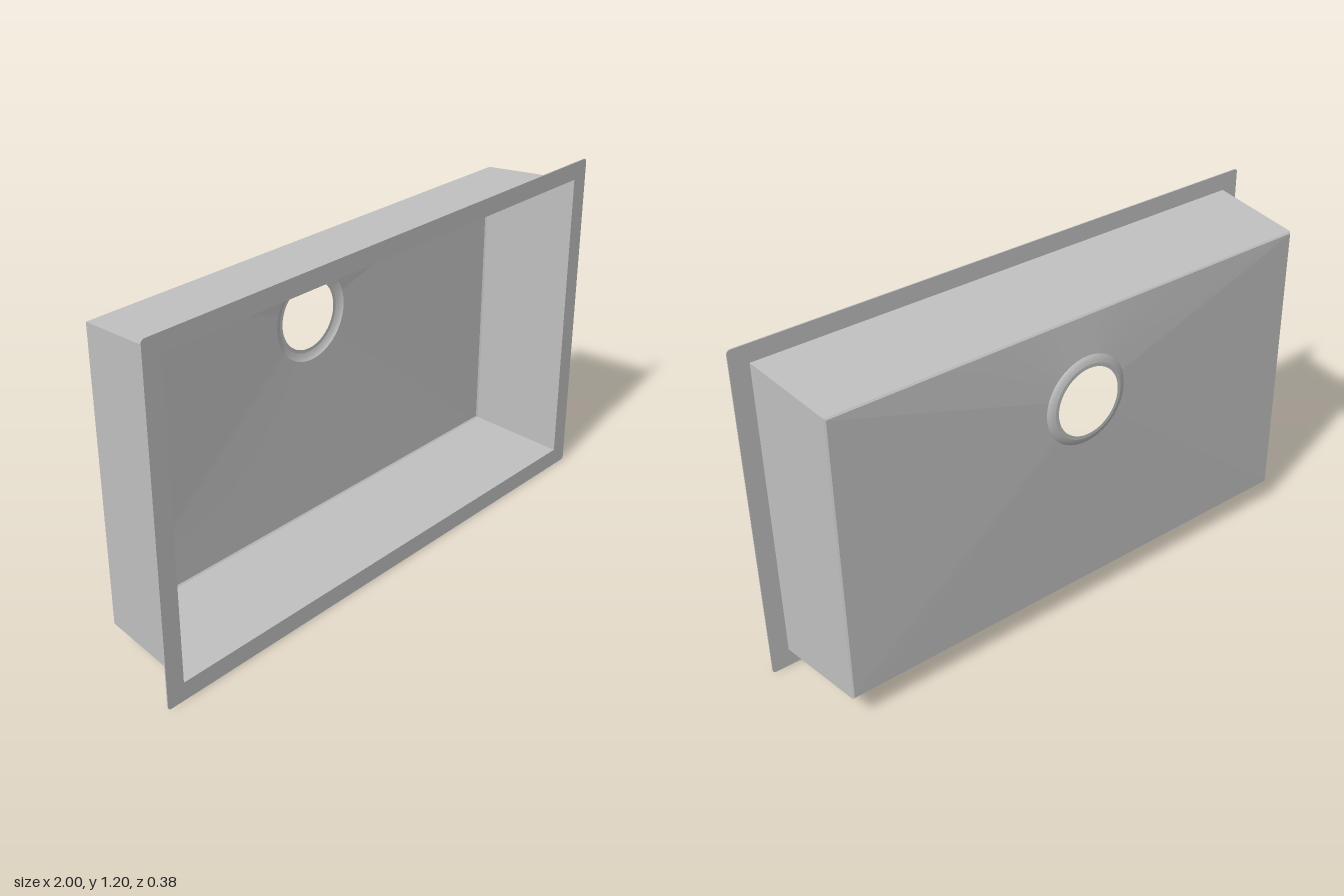
import * as THREE from 'three';

const DRAIN_Y = 0.82;
const steel = new THREE.MeshStandardMaterial({ color: 0xc0c0c0, side: THREE.DoubleSide });
steel.name = 'brushed steel';

// Rectangular section of the basin
const section = (halfX, y0, y1, z) => ({ halfX, y0, y1, z });
const mouth = section(0.935, 0.065, 1.138, 0.19);
const base = section(0.91, 0.09, 1.113, -0.157);
const floorEdge = section(0.905, 0.095, 1.108, -0.162);

const corners = ({ halfX: x, y0, y1, z }) => [[-x, y0, z], [x, y0, z], [x, y1, z], [-x, y1, z]];

// Skin consecutive closed loops of points
function loft(loops) {
  const n = loops[0].length;
  const index = [];
  for (let r = 0; r < loops.length - 1; r++) {
    for (let i = 0; i < n; i++) {
      const a = r * n + i, b = r * n + (i + 1) % n;
      index.push(a, a + n, b, b, a + n, b + n);
    }
  }
  const geo = new THREE.BufferGeometry();
  geo.setAttribute('position', new THREE.Float32BufferAttribute(loops.flat(2), 3));
  geo.setIndex(index);
  return geo;
}

// Angles around the drain, including the four floor corners
const angles = corners(floorEdge).map(([x, y]) => Math.atan2(y - DRAIN_Y, x));
for (let i = 0; i < 72; i++) angles.push(-Math.PI + (i + 0.5) * Math.PI / 36);
angles.sort((a, b) => a - b);

const circle = (r, z) => angles.map(a => [r * Math.cos(a), DRAIN_Y + r * Math.sin(a), z]);

// Where a ray from the drain centre meets the rectangular floor edge
const rectangle = ({ halfX, y0, y1, z }) => angles.map(a => {
  const c = Math.cos(a), s = Math.sin(a);
  const tx = halfX / Math.max(Math.abs(c), 1e-6);
  const ty = (s > 0 ? y1 - DRAIN_Y : DRAIN_Y - y0) / Math.max(Math.abs(s), 1e-6);
  const t = Math.min(tx, ty);
  return [t * c, DRAIN_Y + t * s, z];
});

export function createModel() {
  const group = new THREE.Group();
  group.name = 'sink';
  const add = (name, geo) => {
    geo.computeVertexNormals();
    const mesh = new THREE.Mesh(geo, steel);
    mesh.name = name;
    group.add(mesh);
  };

  // Flat mounting flange with slightly rounded corners
  const w = 1, h = 1.2, r = 0.012;
  const outline = new THREE.Shape();
  outline.absarc(w - r, r, r, -Math.PI / 2, 0);
  outline.absarc(w - r, h - r, r, 0, Math.PI / 2);
  outline.absarc(-w + r, h - r, r, Math.PI / 2, Math.PI);
  outline.absarc(-w + r, r, r, Math.PI, Math.PI * 1.5);
  outline.holes.push(new THREE.Path(corners(mouth).reverse().map(([x, y]) => new THREE.Vector2(x, y))));
  const flange = new THREE.ExtrudeGeometry(outline, { depth: 0.004, bevelEnabled: false, curveSegments: 4 });
  flange.translate(0, 0, 0.187);
  add('flange', flange);

  // Tapered walls and the small chamfer around the floor, with sharp corners
  add('walls', loft([corners(mouth), corners(base)]).toNonIndexed());
  add('floorChamfer', loft([corners(base), corners(floorEdge)]).toNonIndexed());

  // Floor falling gently to the drain
  add('floor', loft([rectangle(floorEdge), circle(0.157, -0.177)]));

  // Recessed drain seat with an open hole
  add('drainStep', loft([circle(0.157, -0.177), circle(0.152, -0.182), circle(0.143, -0.187), circle(0.132, -0.19)]));
  add('drainSeat', loft([circle(0.132, -0.19), circle(0.12, -0.19)]));

  return group;
}
